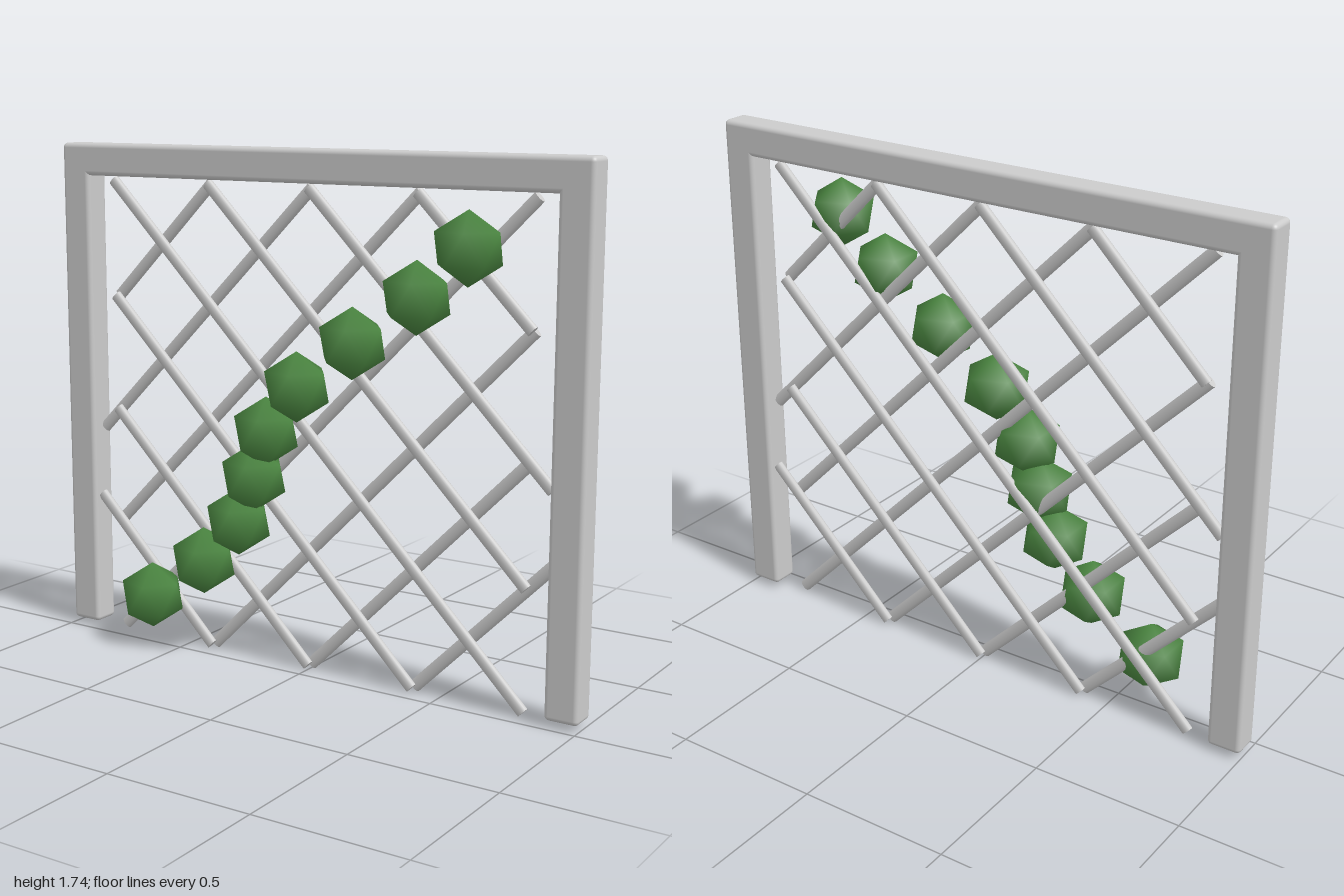
import * as THREE from 'three';
import { RoundedBoxGeometry } from 'three/addons/geometries/RoundedBoxGeometry.js';

const FRAME_Z = -0.067;

export function createModel() {
  const model = new THREE.Group();
  model.name = 'gardenTrellis';
  const grey = new THREE.MeshStandardMaterial({ color: 0xcccccc });
  const green = new THREE.MeshStandardMaterial({ color: 0x4a8540 });

  const add = (name, geometry, material, x, y, z) => {
    const mesh = new THREE.Mesh(geometry, material);
    mesh.name = name;
    mesh.position.set(x, y, z);
    model.add(mesh);
    return mesh;
  };

  // Frame: two posts and a top beam with softened edges
  const post = new RoundedBoxGeometry(0.115, 1.71, 0.097, 3, 0.016);
  add('leftPost', post, grey, 0.9425, 0.875, FRAME_Z);
  add('rightPost', post, grey, -0.9425, 0.875, FRAME_Z);
  add('topBeam', new RoundedBoxGeometry(2, 0.11, 0.097, 3, 0.016), grey, 0, 1.685, FRAME_Z);

  // Lattice: falling slats [x0, y0, x1, y1] in front, mirrored rising slats behind
  const slats = [
    [-0.88, 0.496, -0.4, 0.016],
    [-0.8, 0.816, 0, 0.016],
    [-0.8, 1.216, 0.4, 0.016],
    [-0.8, 1.616, 0.8, 0.016],
    [-0.4, 1.616, 0.8, 0.416],
    [0, 1.616, 0.88, 0.736],
    [0.4, 1.616, 0.8, 1.216],
  ];
  for (const [x0, y0, x1, y1] of slats) {
    const length = Math.hypot(x1 - x0, y1 - y0);
    // Flattened round section, wide across the lattice plane
    const slat = new THREE.CylinderGeometry(0.021, 0.021, length, 12);
    slat.scale(1, 1, 0.65);
    for (const side of [1, -1]) {
      const mesh = add(side > 0 ? 'frontSlat' : 'backSlat', slat, grey,
        side * (x0 + x1) / 2, (y0 + y1) / 2, FRAME_Z + side * 0.012);
      mesh.rotation.z = side * Math.PI / 4;
    }
  }

  // Foliage: smooth-shaded icosahedra standing on a corner
  const leaf = new THREE.IcosahedronGeometry(0.117, 0);
  leaf.rotateZ(-Math.atan(2 / (1 + Math.sqrt(5))));
  const p = leaf.attributes.position;
  const v = new THREE.Vector3();
  for (let i = 0; i < p.count; i++) {
    v.fromBufferAttribute(p, i).normalize();
    leaf.attributes.normal.setXYZ(i, v.x, v.y, v.z);
  }
  const vineX = [-0.605, -0.38, -0.233, -0.17, -0.12, 0, 0.21, 0.44, 0.615];
  vineX.forEach((x, i) => add('vineLeafClump', leaf, green, x, 0.18 + i * 0.16, 0.015));

  return model;
}
